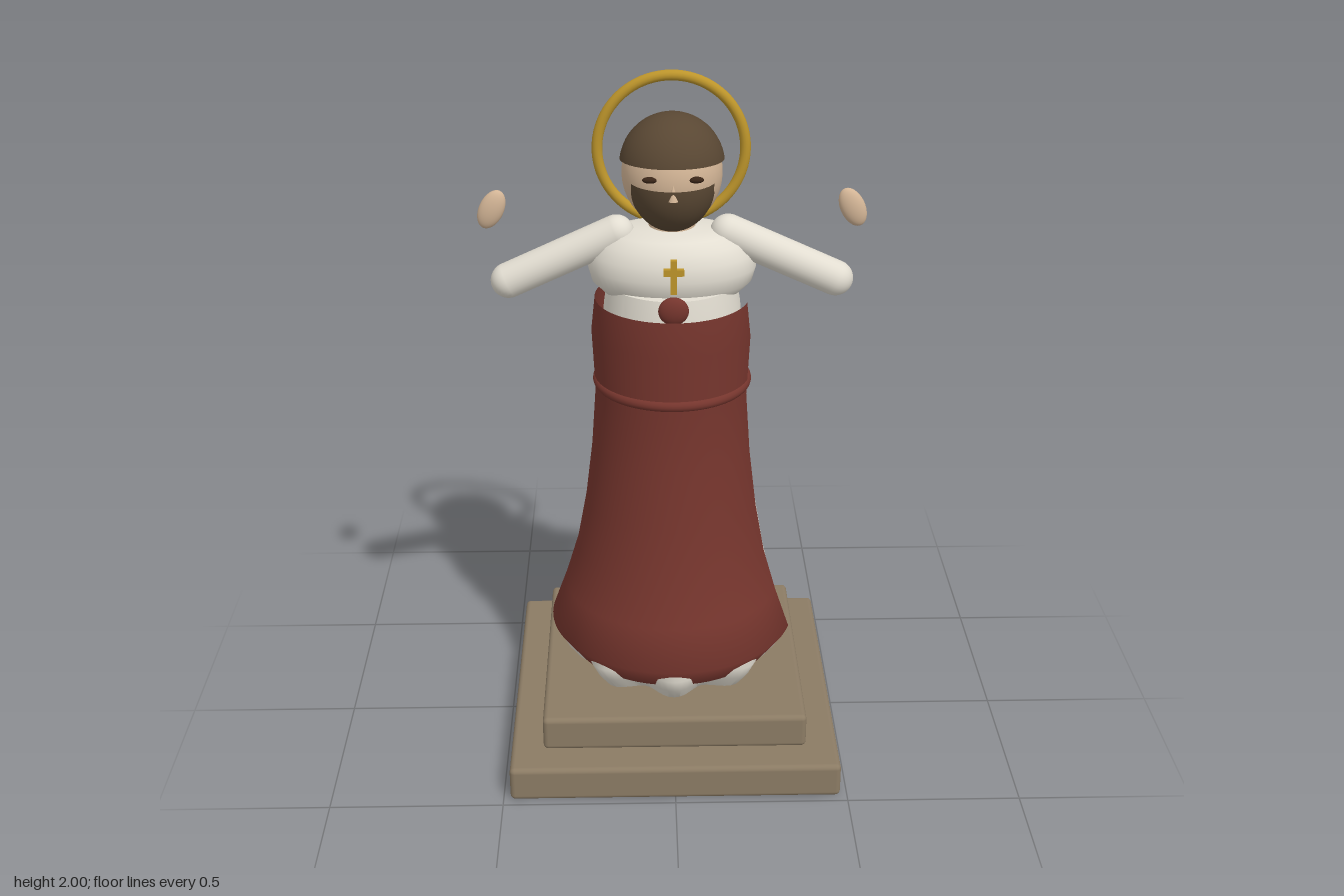
import * as THREE from 'three';
import { mergeVertices, toCreasedNormals } from 'three/addons/utils/BufferGeometryUtils.js';
import { RoundedBoxGeometry } from 'three/addons/geometries/RoundedBoxGeometry.js';

const mat = (name, color, side = THREE.FrontSide) => {
  const m = new THREE.MeshStandardMaterial({ color, side });
  m.name = name;
  return m;
};

export function createModel() {
  const stone = mat('stone', 0x8b7b64);
  const white = mat('white cloth', 0xe2ddd1, THREE.DoubleSide);
  const red = mat('red cloth', 0x75352d, THREE.DoubleSide);
  const brown = mat('brown hair', 0x594733, THREE.DoubleSide);
  const skin = mat('skin', 0xd3b596);
  const gold = mat('gold', 0xbd952b);
  const dark = mat('dark eyes', 0x3a2618);

  const model = new THREE.Group();
  const add = (name, geo, material, x = 0, y = 0, z = 0) => {
    const mesh = new THREE.Mesh(geo, material);
    mesh.name = name;
    mesh.position.set(x, y, z);
    model.add(mesh);
    return mesh;
  };
  const ellipsoid = (rx, ry, rz) => new THREE.SphereGeometry(1, 32, 20).scale(rx, ry, rz);
  const pts = (list) => list.map(([r, y]) => new THREE.Vector2(r, y));

  // Stepped plinth
  add('lowerPlinth', new RoundedBoxGeometry(0.96, 0.105, 0.96, 3, 0.015), stone, 0, 0.0525, 0);
  add('upperPlinth', new RoundedBoxGeometry(0.77, 0.105, 0.77, 3, 0.015), stone, 0, 0.16, 0);

  // Robe: a lathe whose radius ripples into nine folds toward the hem
  let robe = new THREE.LatheGeometry(pts([
    [0, 0.215], [0.265, 0.222], [0.3, 0.265], [0.325, 0.31], [0.293, 0.45], [0.262, 0.6], [0.235, 0.78],
    [0.215, 0.95], [0.203, 1.13], [0.201, 1.28], [0.192, 1.37], [0.182, 1.43], [0, 1.435],
  ]), 108);
  const p = robe.attributes.position;
  for (let i = 0; i < p.count; i++) {
    const x = p.getX(i), y = p.getY(i), z = p.getZ(i), r = Math.hypot(x, z);
    if (r < 0.01) continue;
    const k = 1 + 0.021 * ((1.43 - y) / 1.12) ** 2 * Math.cos(9 * Math.atan2(x, z)) / r;
    p.setXYZ(i, x * k, y, z * k);
  }
  robe.deleteAttribute('uv');
  robe.deleteAttribute('normal');
  robe = toCreasedNormals(mergeVertices(robe, 1e-4), 0.9);
  add('robe', robe, white);

  // Open cloak wrapped around the front and the right side
  const deg = Math.PI / 180;
  add('cloak', new THREE.LatheGeometry(pts([
    [0.31, 0.275], [0.365, 0.35], [0.322, 0.47], [0.283, 0.6], [0.255, 0.75], [0.234, 0.92],
    [0.221, 1.1], [0.23, 1.28], [0.219, 1.38],
  ]), 72, -127 * deg, 200 * deg), red, 0, 0, -0.006);

  // Belt and clasp
  add('belt', new THREE.TorusGeometry(0.212, 0.016, 14, 72).rotateX(Math.PI / 2), red, 0, 1.132, 0);
  add('clasp', ellipsoid(0.042, 0.04, 0.02), red, 0, 1.405, 0.186);

  // Chest, flattened front to back
  add('chest', new THREE.LatheGeometry(pts([
    [0, 1.385], [0.14, 1.39], [0.195, 1.405], [0.225, 1.435], [0.236, 1.475], [0.228, 1.515],
    [0.205, 1.55], [0.17, 1.575], [0.12, 1.589], [0, 1.597],
  ]), 56).scale(1, 1, 0.7), white);

  // Pendant cross
  add('pendantUpright', new THREE.BoxGeometry(0.018, 0.096, 0.015), gold, 0, 1.512, 0.208);
  add('pendantBar', new THREE.BoxGeometry(0.056, 0.018, 0.015), gold, 0, 1.525, 0.208);

  // Arms, hands and eyes on both sides
  for (const [side, s] of [['left', 1], ['right', -1]]) {
    const a = new THREE.Vector3(s * 0.155, 1.575, 0.018), b = new THREE.Vector3(s * 0.458, 1.437, 0.018);
    const d = b.clone().sub(a);
    const arm = add(side + 'Arm', new THREE.CapsuleGeometry(0.05, d.length(), 10, 28), white);
    arm.position.copy(a).add(b).multiplyScalar(0.5);
    arm.quaternion.setFromUnitVectors(new THREE.Vector3(0, 1, 0), d.normalize());

    const hand = add(side + 'Hand', ellipsoid(0.034, 0.058, 0.02), skin, s * 0.495, 1.653, 0.045);
    hand.rotation.z = s * 0.45;

    add(side + 'Eye', ellipsoid(0.021, 0.009, 0.01), dark, s * 0.062, 1.757, 0.125);
  }

  // Neck, head, nose
  add('neck', new THREE.CylinderGeometry(0.06, 0.07, 0.1, 28), skin, 0, 1.6, 0);
  add('head', ellipsoid(0.139, 0.15, 0.139), skin, 0, 1.742, 0);
  add('nose', new THREE.ConeGeometry(0.014, 0.045, 16), skin, 0, 1.728, 0.15);

  // Hair cap and beard
  const hair = add('hair', new THREE.SphereGeometry(0.145, 40, 16, 0, Math.PI * 2, 0, Math.PI * 0.46),
    brown, 0, 1.762, -0.003);
  hair.rotation.x = -0.06;
  const beard = new THREE.SphereGeometry(1, 40, 16, 0, Math.PI * 2, Math.PI / 2, Math.PI / 2);
  add('beard', beard.scale(0.122, 0.146, 0.126), brown, 0, 1.733, 0.032);

  // Halo ring behind the head
  add('halo', new THREE.TorusGeometry(0.207, 0.015, 14, 80), gold, 0, 1.778, -0.103);

  return model;
}
